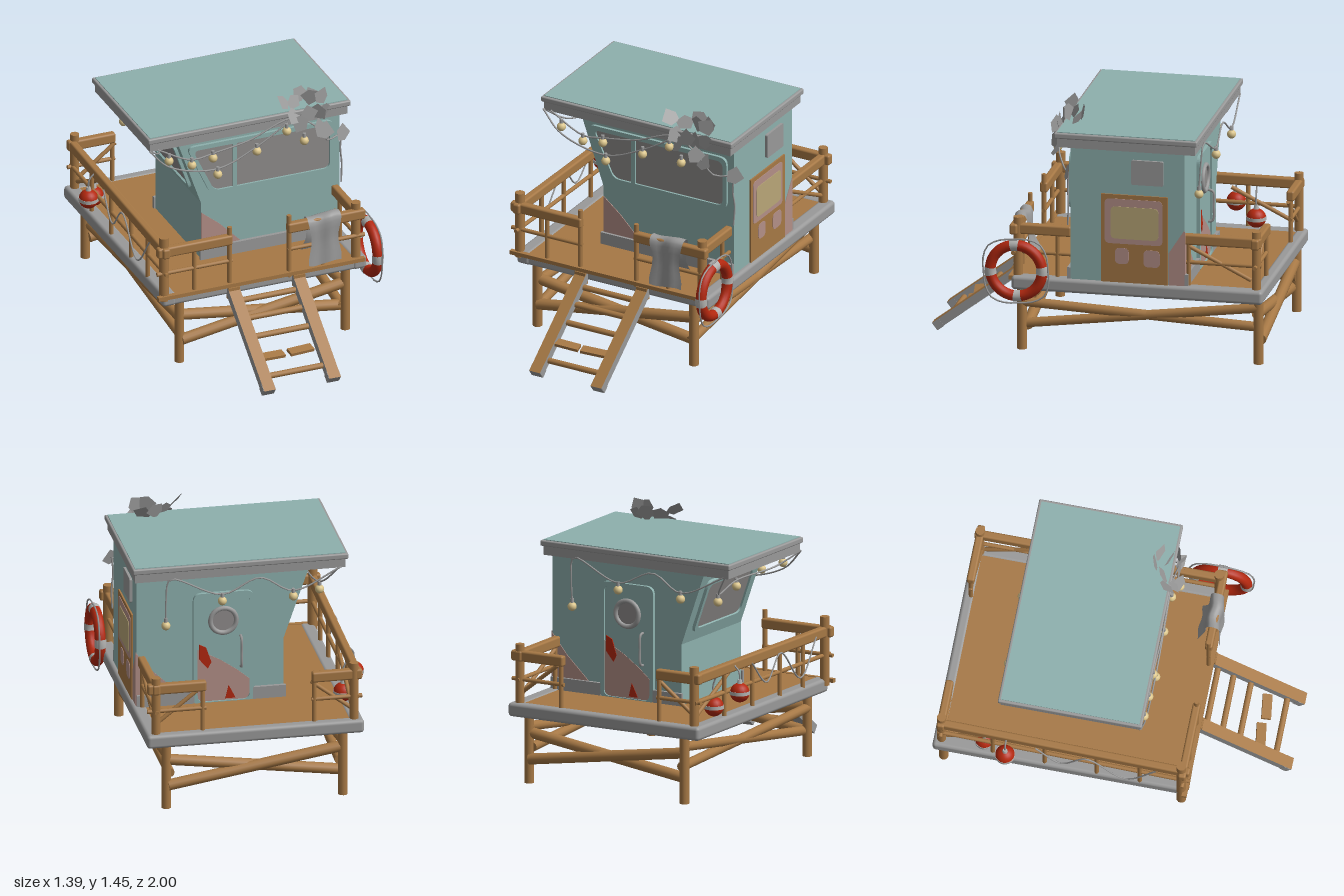
import * as THREE from 'three';
import { RoundedBoxGeometry } from 'three/addons/geometries/RoundedBoxGeometry.js';

const mat = (name, color, side = THREE.FrontSide) => {
  const m = new THREE.MeshStandardMaterial({ color, side });
  m.name = name;
  return m;
};
const wood = mat('wood', 0xa67845);
const grey = mat('weathered grey', 0x999999);
const cloth = mat('soft grey', 0x999999, THREE.DoubleSide);
const teal = mat('teal paint', 0x8db0ad);
const glass = mat('window glass', 0x8f8c8b);
const red = mat('red', 0xb3280f);
const pink = mat('faded pink', 0xb38f87);
const cream = mat('cream', 0xdcc68c);
const tan = mat('faded tan', 0xb8a677);
const white = mat('band grey', 0xb2b2b0);
const V = (x, y, z) => new THREE.Vector3(x, y, z);

export function createModel() {
  const root = new THREE.Group();
  const add = (name, geo, material, parent = root) => {
    const m = new THREE.Mesh(geo, material);
    m.name = name;
    parent.add(m);
    return m;
  };
  const group = (name, x = 0, y = 0, z = 0, ry = 0) => {
    const g = new THREE.Group();
    g.name = name;
    g.position.set(x, y, z);
    g.rotation.y = ry;
    root.add(g);
    return g;
  };
  const box = (name, x0, x1, y0, y1, z0, z1, material, parent) => {
    const m = add(name, new THREE.BoxGeometry(x1 - x0, y1 - y0, z1 - z0), material, parent);
    m.position.set((x0 + x1) / 2, (y0 + y1) / 2, (z0 + z1) / 2);
    return m;
  };
  const rounded = (name, x0, x1, y0, y1, z0, z1, r, material) => {
    const m = add(name, new RoundedBoxGeometry(x1 - x0, y1 - y0, z1 - z0, 3, r), material);
    m.position.set((x0 + x1) / 2, (y0 + y1) / 2, (z0 + z1) / 2);
  };
  // round timber between two points
  const pole = (name, a, b, r, material = wood) => {
    const p = V(...a), q = V(...b), d = q.clone().sub(p);
    const m = add(name, new THREE.CylinderGeometry(r, r, d.length(), 12), material);
    m.position.copy(p).add(q).multiplyScalar(0.5);
    m.quaternion.setFromUnitVectors(V(0, 1, 0), d.normalize());
  };
  const rope = (name, pts, r = 0.005, parent = root) =>
    add(name, new THREE.TubeGeometry(new THREE.CatmullRomCurve3(pts.map(p => V(...p))), 32, r, 6), grey, parent);
  const poly = pts => new THREE.Shape(pts.map(p => new THREE.Vector2(...p)));
  // polygon with rounded corners
  const soft = (pts, r) => {
    const s = new THREE.Shape(), P = pts.map(p => new THREE.Vector2(...p)), n = P.length;
    P.forEach((p, i) => {
      const a = P[(i + n - 1) % n].clone().sub(p).setLength(r).add(p);
      const b = P[(i + 1) % n].clone().sub(p).setLength(r).add(p);
      if (i) s.lineTo(a.x, a.y); else s.moveTo(a.x, a.y);
      s.quadraticCurveTo(p.x, p.y, b.x, b.y);
    });
    s.closePath();
    return s;
  };
  const plate = (name, shape, depth, material, parent) =>
    add(name, new THREE.ExtrudeGeometry(shape, { depth, bevelEnabled: false, curveSegments: 8 }), material, parent);
  const rect = (x0, x1, y0, y1) => [[x0, y0], [x1, y0], [x1, y1], [x0, y1]];
  const frame = (name, outer, inner, r, depth, material, parent) => {
    const s = soft(outer, r);
    s.holes.push(soft(inner, r * 0.8));
    plate(name, s, depth, material, parent);
  };

  // deck
  box('deckBoards', -0.6, 0.6, 0.445, 0.475, -0.97, 0.46, wood);
  for (const s of [-1, 1]) rounded('deckSideBeam', s * 0.585 - 0.042, s * 0.585 + 0.042, 0.4, 0.48, -0.995, 0.46, 0.02, grey);
  rounded('deckBackBeam', -0.62, 0.62, 0.4, 0.48, -0.995, -0.93, 0.02, grey);
  rounded('deckFrontBeam', -0.6, 0.6, 0.4, 0.46, 0.39, 0.455, 0.02, grey);
  box('deckFrontBoard', -0.66, 0.61, 0.455, 0.478, 0.45, 0.478, wood);

  // legs and cross bracing
  for (const x of [-0.51, 0.51]) {
    for (const z of [0.42, -0.95]) pole('leg', [x, 0.02, z], [x, 0.42, z], 0.028);
    pole('sideBrace', [x, 0.3, 0.42], [x * 0.96, 0.23, -0.95], 0.028);
    pole('sideBrace', [x * 0.96, 0.165, 0.42], [x, 0.35, -0.95], 0.028);
  }
  for (const z of [0.41, -0.94]) for (const s of [-1, 1])
    pole('crossBrace', [-0.5 * s, 0.31, z], [0.5 * s, 0.16, z - s * 0.02], 0.032);

  // ladder with a snapped rung
  for (const x of [-0.197, 0.203]) {
    const g = new THREE.BoxGeometry(0.07, 0.05, 0.68);
    const m = add('ladderRail', g, [grey, grey, wood, grey, grey, grey]);
    m.position.set(x, 0.232, 0.715);
    m.rotation.x = 0.645;
    const cap = add('ladderFoot', new THREE.BoxGeometry(0.074, 0.052, 0.045), grey);
    cap.position.set(x, 0.041, 0.965);
    cap.rotation.x = 0.645;
    box('ladderTop', x - 0.034, x + 0.034, 0.38, 0.455, 0.45, 0.485, wood);
  }
  for (const [z, y] of [[0.9, 0.085], [0.69, 0.235], [0.59, 0.305], [0.5, 0.375]])
    pole('rung', [-0.17, y, z], [0.17, y, z], 0.017);
  for (const [x, t] of [[-0.1, -0.12], [0.075, -0.06]]) {
    const m = add('brokenRung', new THREE.BoxGeometry(0.15, 0.018, 0.055), wood);
    m.position.set(x, 0.155, 0.8);
    m.rotation.set(0.2, 0.12, t);
  }

  // railings: posts [x, z, top, radius]
  for (const [x, z, top, r] of [[-0.613, 0.44, 0.84, 0.028], [-0.575, -0.95, 0.82, 0.026], [0.57, 0.43, 0.82, 0.028],
    [0.57, -0.95, 0.82, 0.026], [-0.213, 0.45, 0.83, 0.014], [0.152, 0.45, 0.83, 0.014]])
    pole('railPost', [x, 0.44, z], [x, top, z], r);
  const rail = (a, b) => {
    const p = V(a[0], 0.752, a[1]), q = V(b[0], 0.752, b[1]);
    const m = add('topRail', new RoundedBoxGeometry(0.045, 0.062, p.distanceTo(q), 2, 0.012), wood);
    m.position.copy(p).add(q).multiplyScalar(0.5);
    m.lookAt(q);
    pole('midRail', [a[0], 0.615, a[1]], [b[0], 0.615, b[1]], 0.012);
  };
  rail([-0.66, 0.45], [-0.2, 0.45]);
  rail([0.14, 0.45], [0.615, 0.45]);
  rail([-0.613, 0.49], [-0.59, -0.97]);
  rail([0.57, 0.46], [0.57, 0.12]);
  rail([0.57, -0.53], [0.57, -0.98]);
  rail([-0.62, -0.95], [-0.33, -0.95]);
  rail([0.28, -0.95], [0.62, -0.95]);
  for (const [x, z] of [[-0.43, 0.45], [0.36, 0.45], [-0.345, -0.95], [0.3, -0.95], [0.57, 0.2], [0.57, -0.56],
    [-0.61, 0.2], [-0.607, -0.05], [-0.602, -0.35], [-0.596, -0.65]])
    pole('baluster', [x, 0.46, z], [x, 0.74, z], 0.013);
  for (const s of [-1, 1]) pole('railBrace', [s * 0.56, 0.54, -0.94], [s * 0.33, 0.72, -0.94], 0.012);
  for (const s of [-1, 1]) pole('railBrace', [s * 0.57, 0.53, -0.92], [s * 0.57, 0.71, -0.56], 0.012);

  // cabin
  const walls = poly([[-0.25, 0.47], [0.6, 0.47], [0.6, 1.28], [-0.407, 1.28], [-0.25, 0.83]]);
  plate('cabinWalls', walls, 0.66, teal).position.z = -0.54;
  box('frontSkirt', -0.26, 0.6, 0.475, 0.547, 0.12, 0.14, grey);
  box('backSkirt', 0.27, 0.6, 0.475, 0.547, -0.56, -0.54, grey);
  box('backSkirt', -0.26, -0.07, 0.475, 0.547, -0.56, -0.54, grey);

  // roof
  rounded('roofEdge', -0.61, 0.635, 1.315, 1.348, -0.62, 0.21, 0.008, grey);
  box('roofFascia', -0.595, 0.62, 1.262, 1.318, -0.605, 0.195, grey);
  box('roofTop', -0.595, 0.62, 1.345, 1.352, -0.605, 0.195, teal);

  // front window and paint patch
  const front = group('frontWall', 0, 0, 0.12);
  const pane = [[-0.175, 0.905], [0.535, 0.905], [0.535, 1.18], [-0.305, 1.18]];
  plate('windowGlass', soft(pane, 0.04), 0.006, glass, front);
  frame('windowFrame', [[-0.195, 0.88], [0.56, 0.88], [0.56, 1.207], [-0.345, 1.207]], pane, 0.05, 0.018, teal, front);
  box('windowDivider', -0.06, -0.036, 0.9, 1.19, 0, 0.018, teal, front);
  plate('paintPatch', poly([[-0.25, 0.547], [-0.01, 0.547], [-0.14, 0.68], [-0.25, 0.77]]), 0.004, pink, front);

  // slanted side window
  const slant = group('slantedWall', -0.25, 0.83, -0.21);
  const up = V(-0.157, 0.45, 0).normalize(), along = V(0, 0, 1);
  slant.quaternion.setFromRotationMatrix(new THREE.Matrix4().makeBasis(along, up, along.clone().cross(up)));
  plate('sideGlass', soft(rect(-0.24, 0.24, 0.09, 0.37), 0.04), 0.006, glass, slant);
  frame('sideWindowFrame', rect(-0.265, 0.265, 0.065, 0.395), rect(-0.24, 0.24, 0.09, 0.37), 0.05, 0.018, teal, slant);

  // side hatch door, vent and paint patch
  const side = group('sideWall', 0.6, 0, 0, Math.PI / 2);
  plate('sideDoor', poly(rect(0.058, 0.445, 0.475, 1)), 0.009, wood, side);
  const worn = (name, r, z, material) => {
    const p = plate(name, soft(r, 0.03), 0.003, material, side);
    p.position.z = z;
  };
  worn('doorPaintLarge', rect(0.08, 0.415, 0.71, 0.975), 0.009, pink);
  worn('doorPane', rect(0.115, 0.392, 0.74, 0.93), 0.012, tan);
  worn('doorPanel', rect(0.14, 0.22, 0.59, 0.685), 0.009, pink);
  worn('doorPanel', rect(0.305, 0.4, 0.58, 0.68), 0.009, pink);
  plate('vent', soft(rect(0.235, 0.42, 1.065, 1.21), 0.01), 0.015, grey, side);
  plate('paintPatch', poly([[0.45, 0.475], [0.54, 0.475], [0.54, 0.81], [0.45, 0.67]]), 0.004, pink, side);

  // back door with porthole
  const back = group('backWall', 0, 0, -0.54, Math.PI);
  plate('backDoor', soft(rect(-0.25, 0.05, 0.475, 1.12), 0.03), 0.008, teal, back);
  frame('backDoorFrame', rect(-0.275, 0.075, 0.46, 1.145), rect(-0.25, 0.05, 0.48, 1.12), 0.05, 0.02, teal, back);
  plate('doorWear', poly([[-0.25, 0.48], [0.05, 0.48], [0.05, 0.6], [-0.02, 0.66], [-0.12, 0.73], [-0.25, 0.8]]), 0.011, pink, back);
  plate('redScrap', poly([[-0.24, 0.74], [-0.19, 0.68], [-0.17, 0.72], [-0.2, 0.81], [-0.24, 0.83]]), 0.014, red, back);
  plate('redScrap', poly([[-0.09, 0.49], [-0.03, 0.49], [-0.07, 0.57]]), 0.014, red, back);
  add('portholeRing', new THREE.TorusGeometry(0.075, 0.014, 10, 28), grey, back).position.set(-0.1, 0.97, 0.012);
  add('portholeGlass', new THREE.CircleGeometry(0.072, 28), glass, back).position.set(-0.1, 0.97, 0.012);
  rope('doorHandle', [[0, 0.68, 0], [0, 0.69, 0.035], [0, 0.78, 0.04], [0, 0.86, 0.035], [0, 0.87, 0]], 0.008, back);
  plate('paintPatch', poly([[-0.6, 0.547], [-0.36, 0.547], [-0.5, 0.68], [-0.6, 0.8]]), 0.004, pink, back);

  // towel folded over the front rail
  const towel = new THREE.PlaneGeometry(0.2, 1, 10, 20), tp = towel.attributes.position;
  const fold = new THREE.CatmullRomCurve3([V(0, 0.5, 0.487), V(0, 0.64, 0.48), V(0, 0.77, 0.481), V(0, 0.795, 0.455),
    V(0, 0.785, 0.415), V(0, 0.65, 0.4), V(0, 0.55, 0.36)]);
  for (let i = 0; i < tp.count; i++) {
    const x = tp.getX(i), p = fold.getPoint(tp.getY(i) + 0.5);
    tp.setXYZ(i, 0.36 + x * (0.93 + 0.1 * Math.cos(p.y * 24)), p.y + 0.008 * Math.sin(x * 30), p.z + 0.005 * Math.sin(x * 50));
  }
  towel.computeVertexNormals();
  add('towel', towel, cloth);

  // life ring
  const ring = group('lifeRing', 0.645, 0.522, 0.425, Math.PI / 2);
  ring.rotation.z = 0.06;
  add('ringBody', new THREE.TorusGeometry(0.15, 0.031, 14, 40), red, ring);
  const loop = [];
  for (let i = 0; i < 4; i++) {
    const a = i * Math.PI / 2;
    add('ringBand', new THREE.TorusGeometry(0.15, 0.034, 14, 6, 0.3), white, ring).rotation.z = a - 0.15;
    for (const [d, r] of [[0, 0.187], [0.4, 0.2], [0.8, 0.215], [1.2, 0.2]]) loop.push([r * Math.cos(a + d), r * Math.sin(a + d), 0.012]);
  }
  loop.push(loop[0]);
  rope('ringRope', loop, 0.005, ring);

  // hanging buoys
  for (const [x, y, z] of [[-0.65, 0.605, -0.57], [-0.56, 0.54, -0.705]]) {
    const b = group('buoy', x, y, z);
    add('buoyBall', new THREE.SphereGeometry(0.056, 20, 14), red, b);
    add('buoyBand', new THREE.CylinderGeometry(0.0575, 0.0575, 0.02, 20), white, b);
    add('buoyCap', new THREE.CylinderGeometry(0.012, 0.018, 0.03, 10), white, b).position.y = 0.06;
    rope('buoyRope', [[0, 0.06, 0], [0.005, 0.12, 0], [-0.6 - x, 0.77 - y, 0]], 0.005, b);
  }
  rope('railRope', [[-0.64, 0.75, 0.3], [-0.645, 0.55, 0.12], [-0.64, 0.74, -0.1], [-0.64, 0.6, -0.25], [-0.63, 0.74, -0.4]]);

  // string lights
  rope('lightWire', [[-0.6, 1.27, 0.2], [-0.48, 1.15, 0.21], [-0.19, 1.08, 0.21], [0.05, 1.17, 0.21], [0.25, 1.29, 0.21]]);
  rope('lightWire', [[-0.55, 1.27, 0.2], [-0.34, 1.165, 0.2], [-0.2, 1.18, 0.2], [0, 1.22, 0.21], [0.28, 1.31, 0.21], [0.45, 1.2, 0.22], [0.5, 1.11, 0.18], [0.61, 1.11, 0.13]]);
  rope('lightWire', [[-0.6, 1.27, 0.2], [-0.5, 1.19, 0.1], [-0.42, 1.16, -0.2], [-0.47, 1.14, -0.5], [-0.57, 1.27, -0.6]]);
  rope('lightWire', [[-0.57, 1.27, -0.61], [-0.29, 1.15, -0.62], [-0.1, 1.24, -0.61], [0.12, 1.16, -0.62], [0.42, 1.27, -0.61], [0.44, 1.15, -0.6], [0.44, 1.01, -0.59]]);
  rope('cornerVine', [[0.61, 1.12, 0.13], [0.6, 1.02, 0.135], [0.61, 0.92, 0.13], [0.605, 0.8, 0.135]]);
  for (const [x, y, z] of [[-0.48, 1.185, 0.2], [-0.465, 1.095, -0.5], [-0.41, 1.12, -0.2], [-0.34, 1.13, 0.2], [-0.21, 1.15, 0.2], [-0.185, 1.045, 0.21],
    [0.055, 1.145, 0.21], [0.235, 1.24, 0.22], [0.33, 1.175, 0.25], [0.44, 0.98, -0.59], [0.12, 1.12, -0.62], [-0.29, 1.115, -0.62]]) {
    add('bulb', new THREE.SphereGeometry(0.026, 14, 10), cream).position.set(x, y, z);
    add('bulbSocket', new THREE.CylinderGeometry(0.01, 0.012, 0.03, 8), grey).position.set(x, y + 0.032, z);
  }

  // leaf cluster on the roof edge
  let seed = 7;
  const rnd = () => (seed = (seed * 16807) % 2147483647) / 2147483647;
  const leafShape = poly([[0, -0.05], [0.04, -0.02], [0.045, 0.04], [-0.035, 0.05], [-0.045, -0.01]]);
  for (const [x, y, z] of [[0.23, 1.41, 0.19], [0.28, 1.33, 0.22], [0.3, 1.38, 0.16], [0.36, 1.4, 0.1], [0.4, 1.41, 0.18], [0.46, 1.4, 0.19],
    [0.36, 1.33, 0.24], [0.42, 1.34, 0.24], [0.46, 1.33, 0.22], [0.42, 1.24, 0.25], [0.46, 1.2, 0.23], [0.31, 1.29, 0.25], [0.43, 1.37, 0.12], [0.61, 1.11, 0.14]]) {
    const leaf = add('leaf', new THREE.ShapeGeometry(leafShape), cloth);
    leaf.position.set(x, y, z);
    leaf.rotation.set(-0.9 + rnd() * 1.2, (rnd() - 0.5) * 1.6, rnd() * 6.28);
  }
  return root;
}
